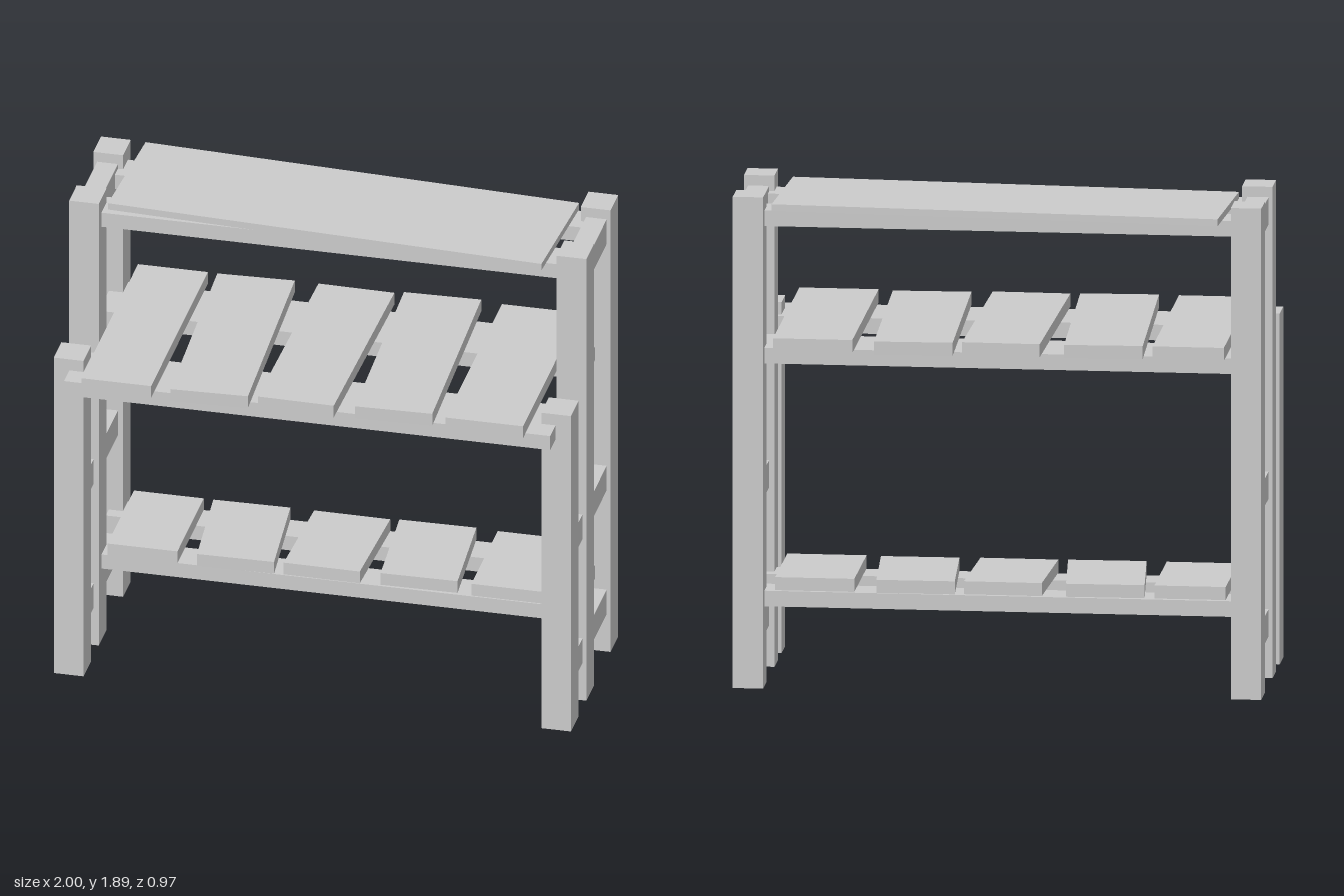
import * as THREE from 'three';

const material = new THREE.MeshStandardMaterial({ color: 0xcccccc, flatShading: true });

// Box given by its min and max along each axis
function beam(parent, name, [x0, x1], [y0, y1], [z0, z1]) {
  const mesh = new THREE.Mesh(new THREE.BoxGeometry(x1 - x0, y1 - y0, z1 - z0), material);
  mesh.position.set((x0 + x1) / 2, (y0 + y1) / 2, (z0 + z1) / 2);
  mesh.name = name;
  parent.add(mesh);
  return mesh;
}

// Planks of a slatted shelf: centre x, centre z, width, length, turn
const PLANKS = [
  [-0.725, 0.012, 0.27, 0.925, 0],
  [-0.385, 0.01, 0.297, 0.93, 0.042],
  [-0.025, 0.004, 0.295, 0.92, -0.018],
  [0.327, -0.012, 0.297, 0.92, 0.031],
  [0.695, 0, 0.3, 0.92, 0],
];

function slattedShelf(name, y, z, depthScale) {
  const shelf = new THREE.Group();
  shelf.name = name;
  shelf.position.set(0, y, z);
  shelf.scale.z = depthScale;
  for (const [x, pz, width, length, turn] of PLANKS) {
    const plank = beam(shelf, 'shelfPlank', [-width / 2, width / 2], [0, 0.05], [-length / 2, length / 2]);
    plank.position.x = x;
    plank.position.z = pz;
    plank.rotation.y = turn;
  }
  return shelf;
}

export function createModel() {
  const model = new THREE.Group();
  model.name = 'shelfRack';

  // Side frames: three posts joined by cross rails
  for (const side of [-1, 1]) {
    const frame = new THREE.Group();
    frame.name = side > 0 ? 'leftFrame' : 'rightFrame';
    const span = (a, b) => (side > 0 ? [a, b] : [-b, -a]);
    const post = span(0.885, 1);
    const rail = span(0.905, 0.985);
    beam(frame, 'frontPost', post, [0, 1.35], [0.208, 0.333]);
    beam(frame, 'middlePost', post, [0, 1.89], [-0.042, 0.083]);
    beam(frame, 'backPost', post, [0, 1.89], [-0.437, -0.312]);
    for (const y of [0.16, 0.69]) {
      beam(frame, 'frontCrossRail', rail, [y, y + 0.105], [0.083, 0.208]);
      beam(frame, 'backCrossRail', rail, [y, y + 0.105], [-0.312, -0.042]);
    }
    beam(frame, 'topCrossRail', rail, [1.745, 1.85], [-0.312, -0.042]);
    model.add(frame);
  }

  // Long rails under each shelf
  const long = [-0.94, 0.94];
  for (const [y, name] of [[0.307, 'lowerRail'], [1.77, 'topRail']]) {
    beam(model, name, long, [y, y + 0.06], [-0.087, 0.04]);
    beam(model, name, long, [y, y + 0.06], [-0.39, -0.263]);
  }
  beam(model, 'middleShelfRail', long, [1.243, 1.303], [0.175, 0.42]);
  beam(model, 'middleShelfRail', long, [1.243, 1.303], [-0.397, -0.15]);

  // Slatted shelves and the skewed top board
  model.add(slattedShelf('lowerShelf', 0.37, -0.175, 0.465));
  model.add(slattedShelf('middleShelf', 1.304, 0, 1));
  const board = beam(model, 'topBoard', [-0.855, 0.845], [1.83, 1.857], [-0.447, 0.055]);
  board.rotation.y = -0.053;

  return model;
}
